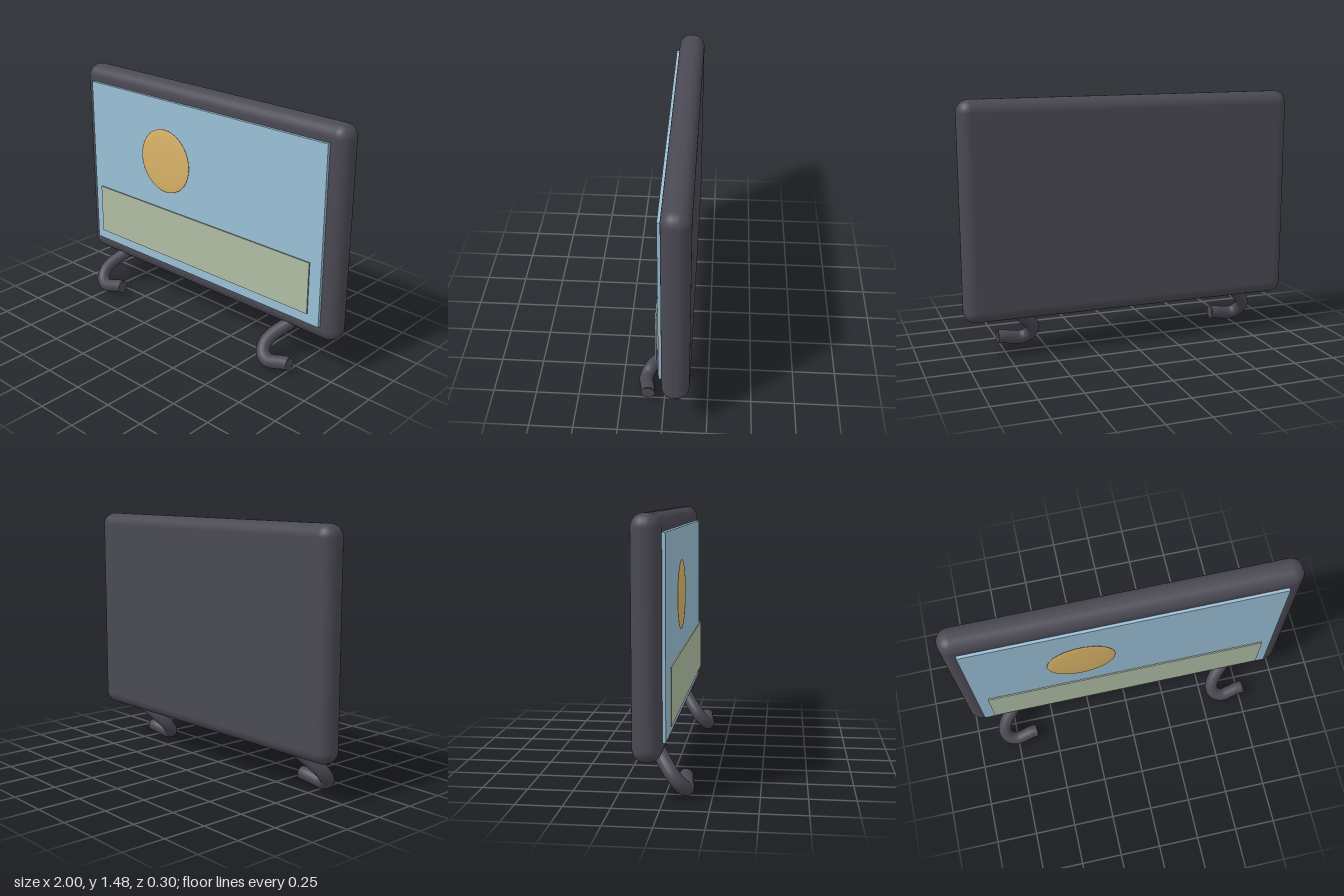
import * as THREE from 'three';
import { RoundedBoxGeometry } from 'three/addons/geometries/RoundedBoxGeometry.js';

const material = (name, color) => {
  const m = new THREE.MeshStandardMaterial({ color });
  m.name = name;
  return m;
};

export function createModel() {
  const model = new THREE.Group();
  model.name = 'displayBoard';
  const dark = material('darkGrey', 0x4a4953);
  const blue = material('paleBlue', 0x9abfd5);
  const gold = material('gold', 0xdab468);
  const sage = material('sageGreen', 0xb0bda4);

  const add = (name, geometry, mat, x, y, z) => {
    const mesh = new THREE.Mesh(geometry, mat);
    mesh.name = name;
    mesh.position.set(x, y, z);
    model.add(mesh);
    return mesh;
  };

  // Rounded body with the screen plate on its front
  add('frame', new RoundedBoxGeometry(2, 1.26, 0.155, 6, 0.072), dark, 0, 0.856, -0.073);
  add('screen', new THREE.BoxGeometry(1.82, 1.066, 0.02), blue, -0.004, 0.857, 0.012);

  // Picture details: a flattened disc and a floating strip
  add('sunDisc', new THREE.SphereGeometry(0.198, 40, 20), gold, -0.263, 1.014, 0.031).scale.z = 0.05;
  add('lowerStrip', new THREE.BoxGeometry(1.684, 0.312, 0.008), sage, -0.003, 0.549, 0.039);

  // Hooked feet: a bent tube lying in a plane that leans forward
  const footPoints = [
    [-0.685, 0.275], [-0.735, 0.225], [-0.797, 0.16], [-0.82, 0.108],
    [-0.803, 0.062], [-0.755, 0.042], [-0.695, 0.052], [-0.65, 0.063], [-0.614, 0.065],
  ].map(([x, y]) => new THREE.Vector3(x, y, 0.115 - 0.8 * (y - 0.04)));
  const radius = 0.04;
  const path = new THREE.CatmullRomCurve3(footPoints);
  const tube = new THREE.TubeGeometry(path, 48, radius, 20);
  const cap = new THREE.CircleGeometry(radius, 20);
  cap.rotateY(Math.PI / 2);
  const tip = footPoints[footPoints.length - 1];

  for (const [name, shift] of [['rightFoot', 0], ['leftFoot', 1.388]]) {
    add(name, tube, dark, shift, 0, 0);
    add(name + 'Tip', cap, dark, tip.x + shift, tip.y, tip.z);
  }
  return model;
}
